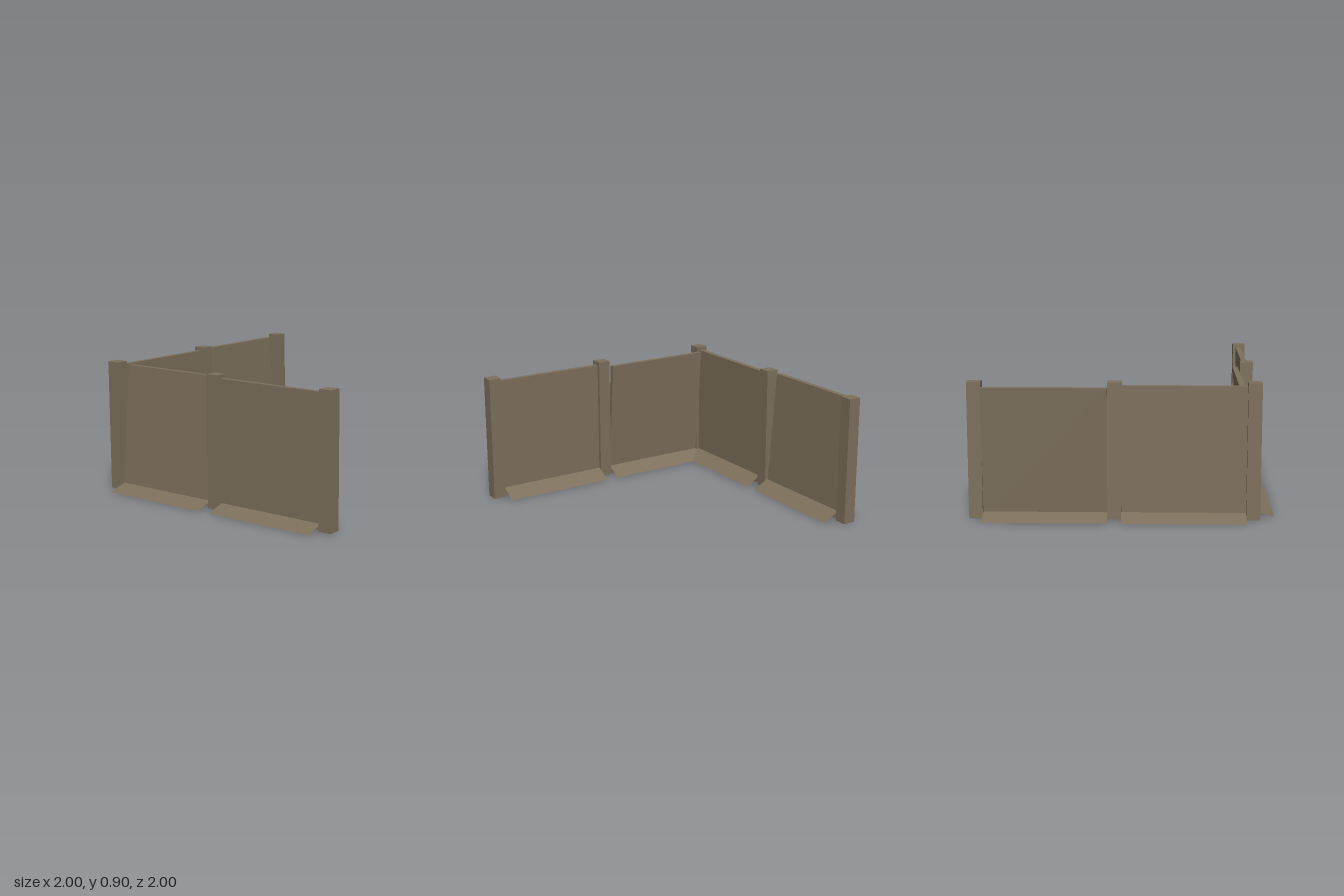
import * as THREE from 'three';

const postSize = 0.09, postHeight = 0.905, line = 0.855;

export function createModel() {
  const wood = new THREE.MeshStandardMaterial({ color: 0x7d705c, side: THREE.DoubleSide });
  wood.name = 'weatheredWood';

  function add(parent, geometry, name) {
    const mesh = new THREE.Mesh(geometry, wood);
    mesh.name = name;
    parent.add(mesh);
  }

  // Square post standing on the ground
  function post(parent, x, name) {
    const g = new THREE.BoxGeometry(postSize, postHeight, postSize);
    g.translate(x, postHeight / 2, line);
    add(parent, g, name);
  }

  // Thin sloping sheet between a ground edge and a raised inner edge
  function skirt(parent, x0, x1, zOut, zIn, height, name) {
    const g = new THREE.PlaneGeometry(x1 - x0, 1);
    const p = g.attributes.position;
    for (let i = 0; i < p.count; i++) {
      const inner = p.getY(i) > 0;
      p.setXYZ(i, p.getX(i) + (x0 + x1) / 2, inner ? height : 0, inner ? zIn : zOut);
    }
    // Keep the front side facing up on the rear sheet
    if (zOut < zIn) g.setIndex([0, 1, 2, 2, 1, 3]);
    g.computeVertexNormals();
    add(parent, g, name);
  }

  // Board with its top shifted by lean, plus a ground skirt on each side
  function bay(parent, x0, x1, lean, top, name) {
    const group = new THREE.Group();
    group.name = name;
    const g = new THREE.BoxGeometry(x1 - x0, top, 0.036);
    g.translate((x0 + x1) / 2, top / 2, 0.85);
    const p = g.attributes.position;
    for (let i = 0; i < p.count; i++) p.setZ(i, p.getZ(i) + lean * p.getY(i) / top);
    g.computeVertexNormals();
    add(group, g, 'board');
    skirt(group, x0, x1, 1.0, 0.868, 0.042, 'frontSkirt');
    skirt(group, x0, x1, 0.71, 0.828, 0.065, 'rearSkirt');
    parent.add(group);
  }

  const model = new THREE.Group();
  model.name = 'cornerFence';

  // Front run
  const front = new THREE.Group();
  front.name = 'frontRun';
  post(front, -line, 'cornerPost');
  post(front, 0.045, 'middlePost');
  post(front, 0.955, 'endPost');
  bay(front, -0.81, 0, -0.077, 0.875, 'leaningBay');
  bay(front, 0.092, 0.907, 0, 0.88, 'uprightBay');

  // Side run, turned so that its outer face looks to -x
  const side = new THREE.Group();
  side.name = 'sideRun';
  post(side, -0.05, 'middlePost');
  post(side, -0.955, 'endPost');
  bay(side, -0.005, 0.81, 0, 0.88, 'uprightBay');
  bay(side, -0.91, -0.095, 0.066, 0.875, 'leaningBay');
  side.rotation.y = -Math.PI / 2;

  model.add(front, side);
  return model;
}
